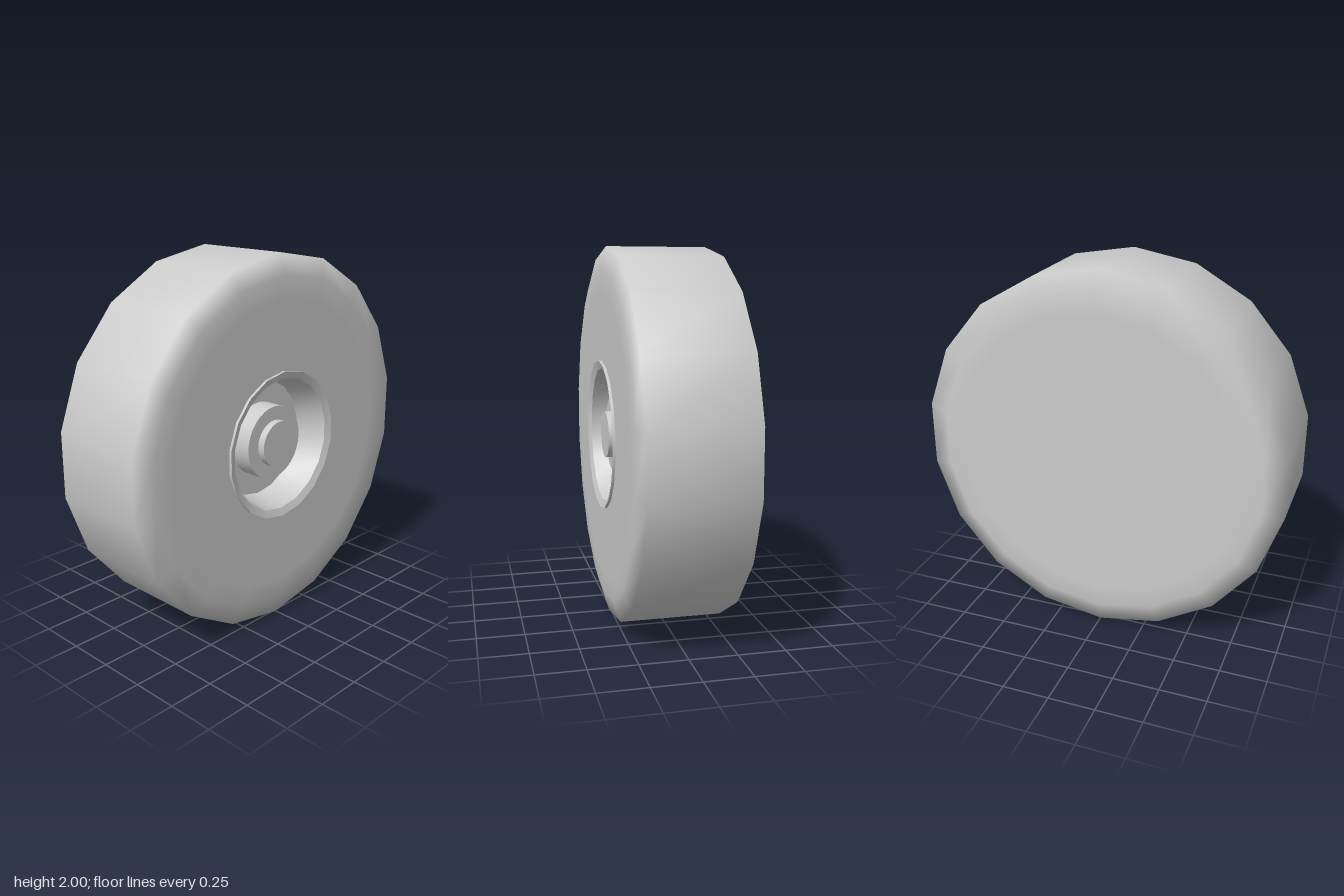
import * as THREE from 'three';
import { toCreasedNormals } from 'three/addons/utils/BufferGeometryUtils.js';

const grey = new THREE.MeshStandardMaterial({ color: 0xcccccc });

// Turns a [radius, x] profile about the wheel's axle (the x axis).
function turned(name, profile, sides, crease) {
  const points = profile.map(([r, x]) => new THREE.Vector2(r, x));
  let geometry = new THREE.LatheGeometry(points, sides, Math.PI / 2);
  geometry.rotateZ(-Math.PI / 2);
  if (crease) geometry = toCreasedNormals(geometry, crease);
  const mesh = new THREE.Mesh(geometry, grey);
  mesh.name = name;
  return mesh;
}

export function createModel() {
  const wheel = new THREE.Group();
  wheel.name = 'wheel';

  // Soft-shouldered tyre with a closed flat back and an opening for the rim
  wheel.add(turned('tyre', [
    [0, -0.31], [0.78, -0.31], [0.89, -0.31], [1, -0.28],
    [1, 0.26], [0.89, 0.29], [0.78, 0.29], [0.39, 0.29],
  ], 18));

  // Raised rim lip, sloping recess wall and recess floor
  wheel.add(turned('rim', [
    [0.4, 0.28], [0.4, 0.305], [0.36, 0.29], [0.32, 0.12], [0, 0.12],
  ], 18, 0.5));

  // Stepped hub standing on the recess floor
  wheel.add(turned('hub', [[0.2, 0.11], [0.2, 0.235], [0, 0.235]], 32, 0.5));
  wheel.add(turned('axleCap', [[0.125, 0.22], [0.125, 0.275], [0, 0.275]], 32, 0.5));

  wheel.position.y = 1;
  const model = new THREE.Group();
  model.add(wheel);
  return model;
}
